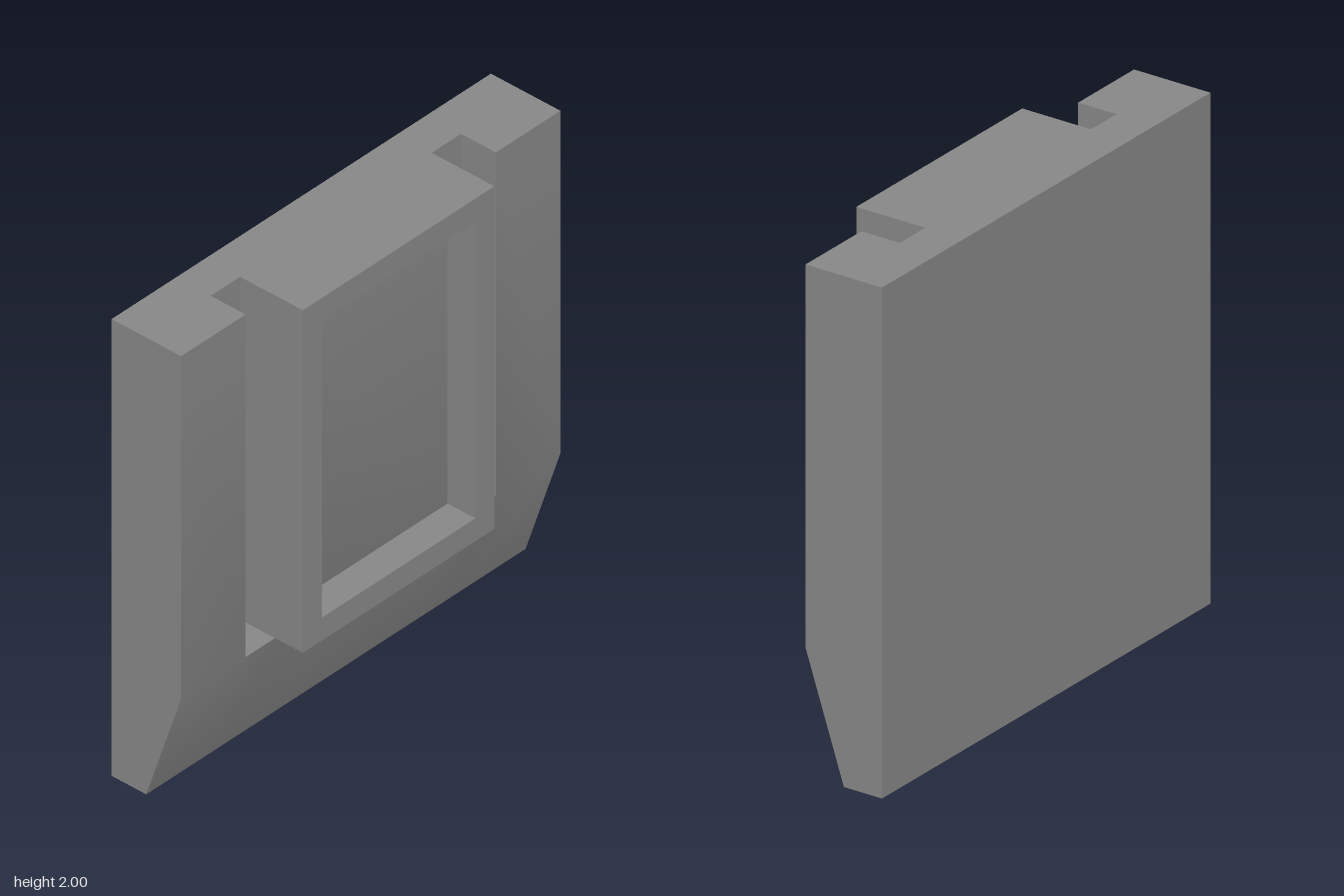
import * as THREE from 'three';
import { mergeGeometries, toCreasedNormals } from 'three/addons/utils/BufferGeometryUtils.js';

const BACK = -0.233, FACE = 0.1, STEP = -0.067, FRONT = 0.233; // depths along z
const PANEL = 0.505, GROOVE = 0.66, LEDGE = 0.5, TOP = 2;

export function createModel() {
  const group = new THREE.Group();
  const material = new THREE.MeshStandardMaterial({ color: 0x888888 });

  // Upper slab: plan outline with two vertical grooves, extruded upwards
  const half = [[1, BACK], [1, FACE], [GROOVE, FACE], [GROOVE, STEP], [PANEL, STEP], [PANEL, FACE]];
  const outline = [...half, ...half.map(([x, z]) => [-x, z]).reverse()];
  const upper = new THREE.ExtrudeGeometry(
    new THREE.Shape(outline.map(([x, z]) => new THREE.Vector2(x, z))),
    { depth: TOP - LEDGE, bevelEnabled: false }
  );
  upper.rotateX(Math.PI / 2).translate(0, TOP, 0);

  // Lower slab: box whose front tapers back towards the bottom edge.
  // Its inner columns stop just short of the panel so the panel stays flat-shaded.
  const columns = [-1, -GROOVE, -0.5, 0.5, GROOVE, 1];
  const lower = new THREE.BoxGeometry(2, LEDGE, FACE - BACK, columns.length - 1, 1, 1).toNonIndexed();
  lower.translate(0, LEDGE / 2, (FACE + BACK) / 2);
  const p = lower.attributes.position;
  for (let i = 0; i < p.count; i++) {
    p.setX(i, columns[Math.round((p.getX(i) + 1) / 2 * (columns.length - 1))]);
    if (p.getY(i) < 0.01 && p.getZ(i) > 0) p.setZ(i, STEP);
  }

  // Soft shading across the shallow bend, sharp everywhere else
  const slab = new THREE.Mesh(toCreasedNormals(mergeGeometries([upper, lower]), 0.5), material);
  slab.name = 'slab';
  group.add(slab);

  // Raised rectangular frame around the recessed panel
  const rectangle = (Type, w, y0, y1) => new Type([
    new THREE.Vector2(-w, y0), new THREE.Vector2(w, y0),
    new THREE.Vector2(w, y1), new THREE.Vector2(-w, y1)
  ]);
  const frameShape = rectangle(THREE.Shape, PANEL, LEDGE, TOP);
  frameShape.holes.push(rectangle(THREE.Path, 0.405, 0.6, 1.9));
  const frame = new THREE.Mesh(
    new THREE.ExtrudeGeometry(frameShape, { depth: FRONT - FACE, bevelEnabled: false }),
    material
  );
  frame.position.z = FACE;
  frame.name = 'panelFrame';
  group.add(frame);

  return group;
}
